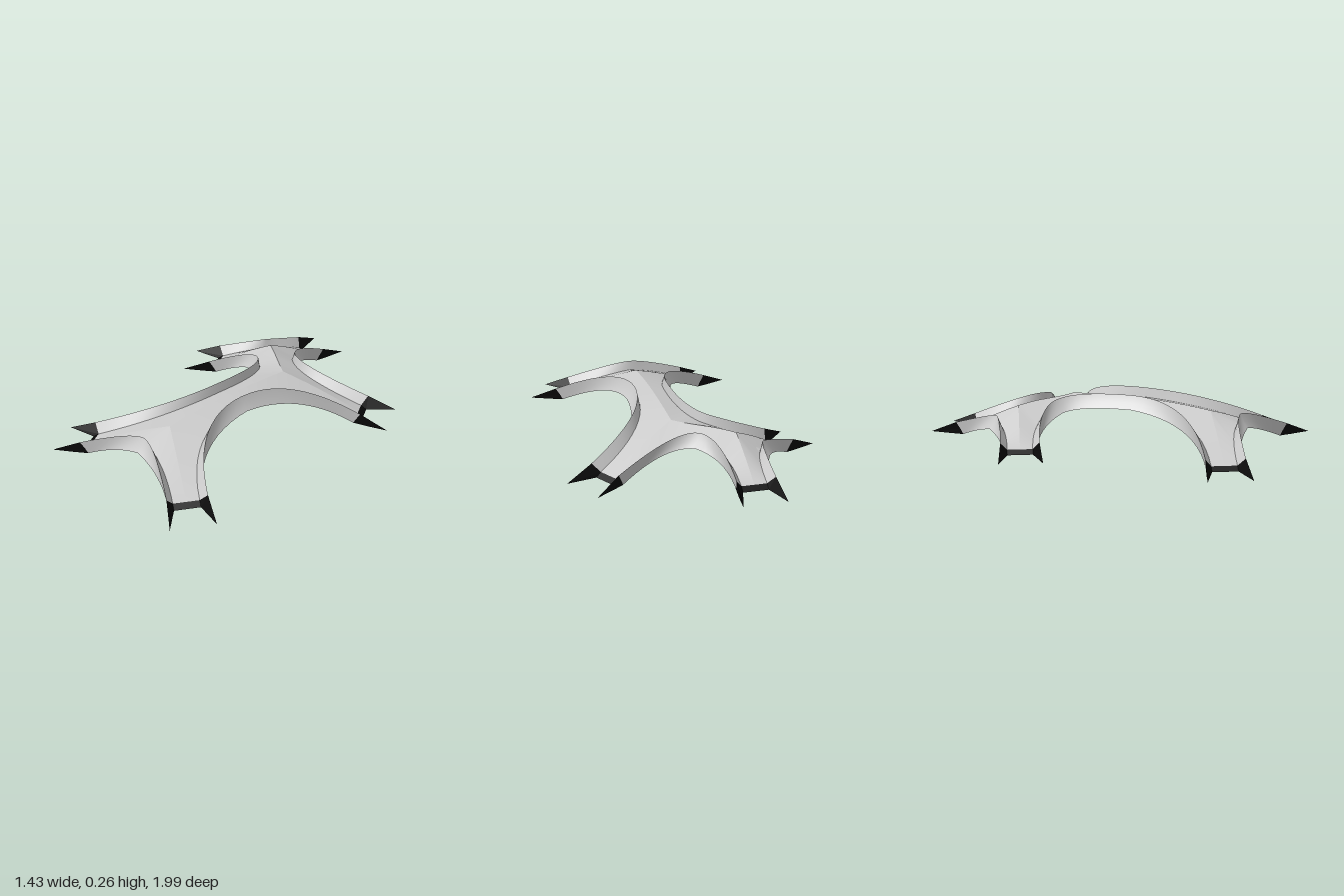
import * as THREE from 'three';
import { toCreasedNormals } from 'three/addons/utils/BufferGeometryUtils.js';

const V = (x, y, z) => new THREE.Vector3(x, y, z);
const C = Math.cos(Math.PI / 6);
const STEPS = 12;
const SLOPE = 0.45;      // how steeply the legs come down
const DECK = 0.022;      // deck thickness

// Junctions of the arched deck
const front = V(0.1, 0.2, 0.56);
const rear = V(0.1, 0.21, -0.29);
const corner = V(-0.21, 0.185, -0.49);

// Legs: junction, plan direction, distance to the foot
const leg = (name, node, ex, ez, r) => ({
  name, node, r, dir: V(ex, 0, ez), side: V(ez, 0, -ex), foot: true,
});
const frontLeft = leg('frontLeftFoot', front, C, 0.5, 0.445);
const rearLeft = leg('rearLeftFoot', rear, C, -0.5, 0.445);
const back = leg('backFoot', corner, 0, -1, 0.315);
const rearRight = leg('rearRightFoot', corner, -C, 0.5, 0.315);
const frontRight = leg('frontRightFoot', front, -C, 0.5, 0.445);
const legs = [frontLeft, rearLeft, back, rearRight, frontRight];

// Middle of a concave side: deck point, outward normal, offset, height of the rim's lower edge
const mid = (p, nx, nz, off, y) => ({ p, n: V(nx, 0, nz), off, y });
const spine = V(0.1, 0.225, 0.135);
const link = V(-0.055, 0.2, -0.39);
const bays = [
  { stops: [frontLeft, mid(spine, 1, 0, 0.15, 0.185), rearLeft], nodes: [front, rear] },
  { stops: [rearLeft, mid(link, 0.5, -C, 0.16, 0.13), back], nodes: [rear, corner] },
  { stops: [back, mid(corner, -C, -0.5, 0.19, 0.075), rearRight], nodes: [corner, corner] },
  {
    stops: [rearRight, mid(link, -0.5, C, 0.16, 0.145), mid(spine, -1, 0, 0.135, 0.185), frontRight],
    nodes: [corner, rear, front],
  },
  { stops: [frontRight, mid(front, 0, 1, 0.22, 0.125), frontLeft], nodes: [front, front] },
];

// Rim cross-section, lower edge to deck: [half width, reach, height] at the foot, [inset, rise] at the middle
const rim = [
  { foot: [0.095, 0, 0], mid: [0, 0] },
  { foot: [0.1, 0.015, 0.03], mid: [0.026, 0.032] },
  { foot: [0.107, 0.04, 0.07], mid: [0.045, 0.075] },
  { foot: [0.07, 0.008, DECK], mid: [0.055, 0.02] },
];

const footPoint = (l, [w, reach, y], s) => l.node.clone().setY(y)
  .addScaledVector(l.dir, l.r + reach).addScaledVector(l.side, s * w);

const midPoint = (m, [inset, rise]) => m.p.clone()
  .addScaledVector(m.n, m.off - inset).setY(m.y + rise);

// Curve of one rim line between two stops, tangent to the leg and to the side's middle
function rimCurve(a, b, line) {
  if (b.foot) {
    const c = rimCurve({ ...b, flip: true }, a, line);
    return new THREE.QuadraticBezierCurve3(c.v2, c.v1, c.v0);
  }
  const end = midPoint(b, line.mid);
  const start = a.foot ? footPoint(a, line.foot, a.flip ? -1 : 1) : midPoint(a, line.mid);
  const way = a.foot ? a.dir.clone().negate() : V(a.n.z, 0, -a.n.x);
  const d = end.clone().sub(start).dot(b.n) / way.dot(b.n);
  const ctrl = start.clone().addScaledVector(way, d);
  ctrl.y = a.foot ? Math.min(start.y + SLOPE * d, end.y) : (start.y + end.y) / 2 + 0.01;
  return new THREE.QuadraticBezierCurve3(start, ctrl, end);
}

// Centre line of the deck from a junction out to a stop
function centre(node, stop, v) {
  const end = stop.foot ? footPoint(stop, [0, 0.008, DECK], 1) : stop.p;
  const p = node.clone().lerp(end, v);
  const ease = stop.foot ? v * (0.8 + 0.2 * v) : v * (2 - v);
  p.y = node.y + (end.y - node.y) * ease;
  return p;
}

// Quads between neighbouring columns of points
function loft(columns) {
  const pos = [];
  const tri = (...pts) => pts.forEach((p) => pos.push(p.x, p.y, p.z));
  for (let i = 0; i + 1 < columns.length; i++) {
    const p = columns[i], q = columns[i + 1];
    for (let j = 0; j + 1 < p.length; j++) {
      tri(p[j], q[j], q[j + 1]);
      tri(p[j], q[j + 1], p[j + 1]);
    }
  }
  const geo = new THREE.BufferGeometry();
  geo.setAttribute('position', new THREE.Float32BufferAttribute(pos, 3));
  return geo;
}

// One bay: underside, flared rim and deck along a concave side
function bayGeometry({ stops, nodes }) {
  const columns = [];
  nodes.forEach((node, k) => {
    const a = stops[k], b = stops[k + 1];
    const curves = rim.map((line) => rimCurve(a, b, line));
    for (let i = k ? 1 : 0; i <= STEPS; i++) {
      const u = i / STEPS;
      const top = u < 0.5 ? centre(node, a, 1 - 2 * u) : centre(node, b, 2 * u - 1);
      const under = top.clone().setY(top.y - DECK);
      columns.push([under, ...curves.map((c) => c.getPoint(u)), top]);
    }
  });
  return toCreasedNormals(loft(columns), 0.5);
}

// Dark foot: the leg's section carried down to the ground, rims ending in spikes
const ground = [[0.095, 0.002, 0], [0.107, 0.08, 0], [0.12, 0.2, 0], [0.07, 0.04, 0]];
function footGeometry(l) {
  const across = (pts) => [
    ...pts.map((p) => footPoint(l, p, 1)),
    ...pts.map((p) => footPoint(l, p, -1)).reverse(),
  ];
  const section = across(rim.map((line) => line.foot));
  const base = across(ground);
  const geo = loft([section, base]);
  const pos = Array.from(geo.attributes.position.array);
  for (const i of [0, 1, 2, 0, 2, 3, 0, 3, 4, 0, 4, 7, 7, 4, 5, 7, 5, 6]) pos.push(...base[i].toArray());
  geo.setAttribute('position', new THREE.Float32BufferAttribute(pos, 3));
  geo.computeVertexNormals();
  return geo;
}

export function createModel() {
  const model = new THREE.Group();
  model.name = 'branchingArch';
  const grey = new THREE.MeshStandardMaterial({ color: 0xcccccc, side: THREE.DoubleSide });
  const dark = new THREE.MeshStandardMaterial({ color: 0x080808, side: THREE.DoubleSide });
  const add = (name, geo, mat) => {
    const mesh = new THREE.Mesh(geo, mat);
    mesh.name = name;
    model.add(mesh);
  };
  const names = ['leftBay', 'rearLeftBay', 'rearRightBay', 'rightBay', 'frontBay'];
  bays.forEach((bay, i) => add(names[i], bayGeometry(bay), grey));
  legs.forEach((l) => add(l.name, footGeometry(l), dark));
  return model;
}
